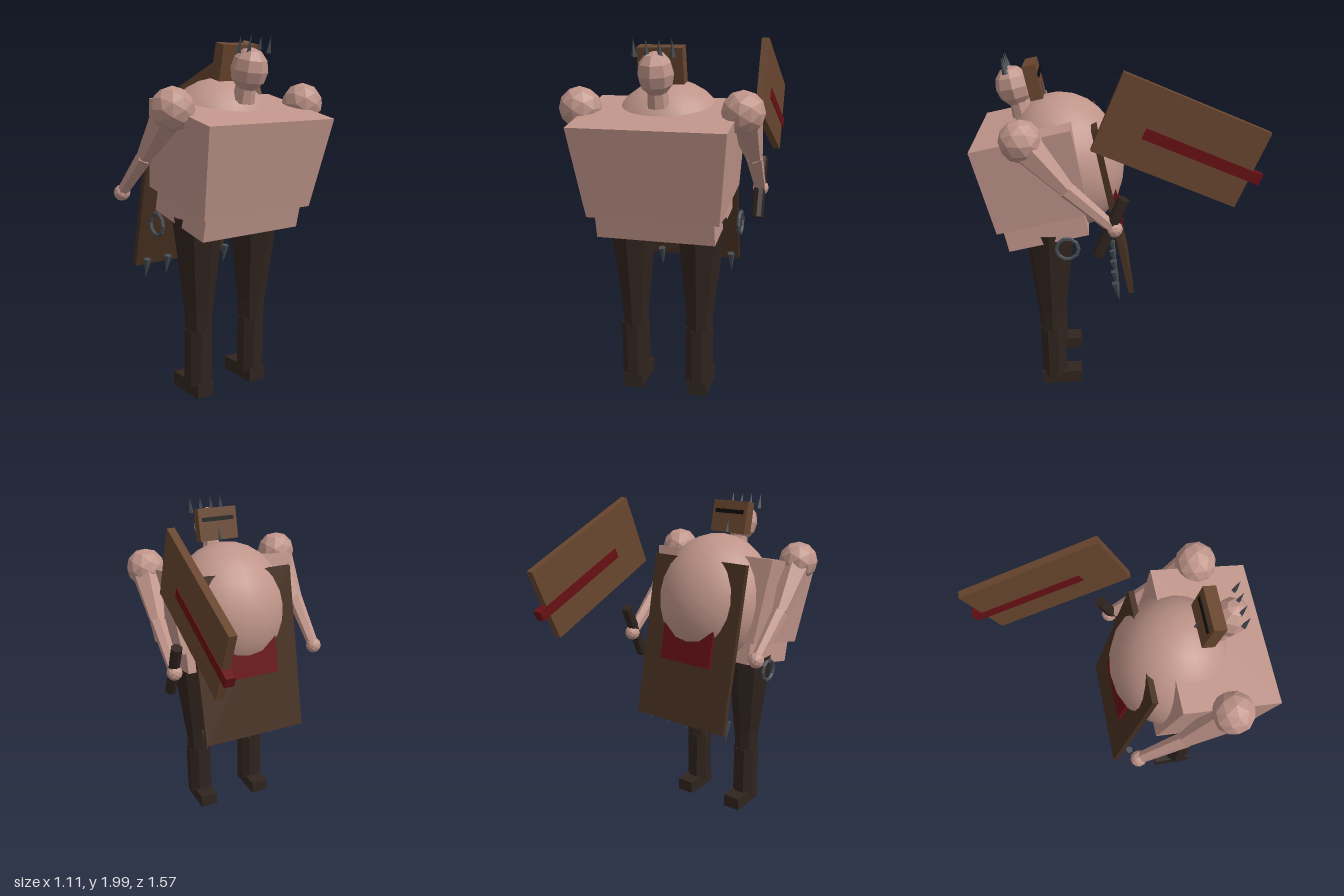
import * as THREE from 'three';

const mat = (color, flatShading = true) => new THREE.MeshStandardMaterial({ color, flatShading });
const SKIN = mat(0xc0958a), BELLY = mat(0xc0958a, false), CLOTH = mat(0x30241e), WOOD = mat(0x69462f);
const PLANK = mat(0x473022), RED = mat(0x661014), METAL = mat(0x464c52), BLACK = mat(0x0c0a09);
const TILT = 0.208;

function add(parent, name, geometry, material, x = 0, y = 0, z = 0, rx = 0) {
  const mesh = new THREE.Mesh(geometry, material);
  mesh.name = name;
  mesh.position.set(x, y, z);
  mesh.rotation.x = rx;
  parent.add(mesh);
  return mesh;
}

const box = (w, h, d) => new THREE.BoxGeometry(w, h, d);

// Box whose lower end is scaled in x and z
function taperedBox(w, h, d, sx, sz) {
  const g = box(w, h, d), p = g.attributes.position;
  for (let i = 0; i < p.count; i++) {
    if (p.getY(i) < 0) p.setXYZ(i, p.getX(i) * sx, p.getY(i), p.getZ(i) * sz);
  }
  g.computeVertexNormals();
  return g;
}

// Tapered limb running from point a to point b
function limb(parent, name, a, b, ra, rb, sides, material) {
  const from = new THREE.Vector3(...a), to = new THREE.Vector3(...b);
  const dir = to.clone().sub(from);
  const mesh = add(parent, name, new THREE.CylinderGeometry(rb, ra, dir.length(), sides), material);
  mesh.position.copy(from).add(to).multiplyScalar(0.5);
  mesh.quaternion.setFromUnitVectors(new THREE.Vector3(0, 1, 0), dir.normalize());
}

function buildTorso(root) {
  add(root, 'chest', taperedBox(0.83, 0.5, 0.545, 0.867, 0.965), SKIN, 0, 1.373, 0.468, TILT);
  add(root, 'hips', box(0.65, 0.3, 0.46), SKIN, 0, 1.145, 0.42, TILT);
  add(root, 'belly', new THREE.SphereGeometry(1, 20, 14), BELLY, 0, 1.38, 0.29, TILT).scale.set(0.36, 0.4, 0.335);
}

function buildHead(root) {
  add(root, 'neck', new THREE.CylinderGeometry(0.05, 0.06, 0.14, 8), SKIN, 0, 1.72, 0.54, TILT);
  add(root, 'head', new THREE.SphereGeometry(1, 8, 6), SKIN, 0, 1.82, 0.57, TILT).scale.set(0.097, 0.115, 0.103);

  // Face plate with an eye slit and a nose spike
  const mask = new THREE.Group();
  mask.name = 'mask';
  mask.position.set(0, 1.86, 0.457);
  mask.rotation.x = TILT;
  root.add(mask);
  add(mask, 'facePlate', box(0.245, 0.19, 0.07), WOOD);
  add(mask, 'eyeSlit', box(0.2, 0.024, 0.014), BLACK, 0, 0.03, -0.035);
  add(mask, 'noseSpike', new THREE.ConeGeometry(0.012, 0.07, 4), METAL, 0, -0.06, -0.038);

  for (const x of [-0.1, -0.034, 0.034, 0.1]) {
    add(root, 'crownSpike', new THREE.ConeGeometry(0.016, 0.09, 4), METAL, x, 1.948, 0.613, TILT);
  }
}

function buildArm(root, s) {
  const arm = new THREE.Group();
  arm.name = s > 0 ? 'leftArm' : 'rightArm';
  root.add(arm);
  const shoulder = [s * 0.44, 1.63, 0.51], elbow = [s * 0.462, 1.37, 0.28], wrist = [s * 0.462, 1.16, 0.05];
  add(arm, 'shoulder', new THREE.IcosahedronGeometry(0.115, 1), SKIN, ...shoulder);
  limb(arm, 'upperArm', shoulder, elbow, 0.1, 0.047, 6, SKIN);
  limb(arm, 'forearm', elbow, wrist, 0.047, 0.034, 6, SKIN);
  add(arm, 'hand', new THREE.IcosahedronGeometry(0.047, 1), SKIN, s * 0.462, 1.14, 0.03);
}

function buildLeg(root, s) {
  const leg = new THREE.Group();
  leg.name = s > 0 ? 'leftLeg' : 'rightLeg';
  leg.position.set(s * 0.19, 0, 0.392);
  root.add(leg);
  limb(leg, 'thigh', [s * 0.008, 1.04, 0], [0, 0.51, 0], 0.145, 0.082, 8, CLOTH);
  limb(leg, 'shin', [0, 0.52, 0], [0, 0.04, 0], 0.08, 0.064, 8, CLOTH);
  const guard = add(leg, 'shinGuard', new THREE.CylinderGeometry(0.08, 0.08, 0.33, 8), CLOTH, 0, 0.225, 0);
  guard.rotation.y = Math.PI / 8;
  add(leg, 'foot', box(0.11, 0.08, 0.24), CLOTH, 0, 0.04, -0.047);

  // Ring hanging at the hip
  const ring = add(root, 'hipRing', new THREE.TorusGeometry(0.062, 0.011, 6, 10), METAL, s * 0.395, 0.995, 0.286);
  ring.rotation.y = Math.PI / 2;
}

// Long board over the belly, with a red patch and hanging spikes
function buildApron(root) {
  const apron = new THREE.Group();
  apron.name = 'apron';
  apron.position.set(0, 1.16, 0.027);
  apron.rotation.x = TILT;
  root.add(apron);
  add(apron, 'apronBoard', box(0.65, 1.0, 0.032), PLANK);
  add(apron, 'apronPatch', box(0.36, 0.25, 0.03), RED, 0, 0, -0.024);
  for (let i = -2; i <= 2; i++) {
    add(root, 'apronSpike', new THREE.ConeGeometry(0.024, 0.125, 5), METAL, i * 0.145, 0.66, 0.003, Math.PI + TILT);
  }
}

function buildCleaver(root) {
  const cleaver = new THREE.Group();
  cleaver.name = 'cleaver';
  root.add(cleaver);
  add(cleaver, 'handle', new THREE.CylinderGeometry(0.034, 0.034, 0.356, 8), CLOTH, 0.46, 1.15, 0.048, -0.4);
  add(cleaver, 'blade', box(0.043, 0.437, 0.827), WOOD, 0.46, 1.626, -0.314, -0.4);
  add(cleaver, 'bladeStripe', box(0.052, 0.06, 0.67), RED, 0.46, 1.545, -0.43, -0.4);
}

export function createModel() {
  const root = new THREE.Group();
  root.name = 'maskedBrute';
  buildTorso(root);
  buildHead(root);
  for (const s of [-1, 1]) {
    buildArm(root, s);
    buildLeg(root, s);
  }
  buildApron(root);
  buildCleaver(root);
  return root;
}
